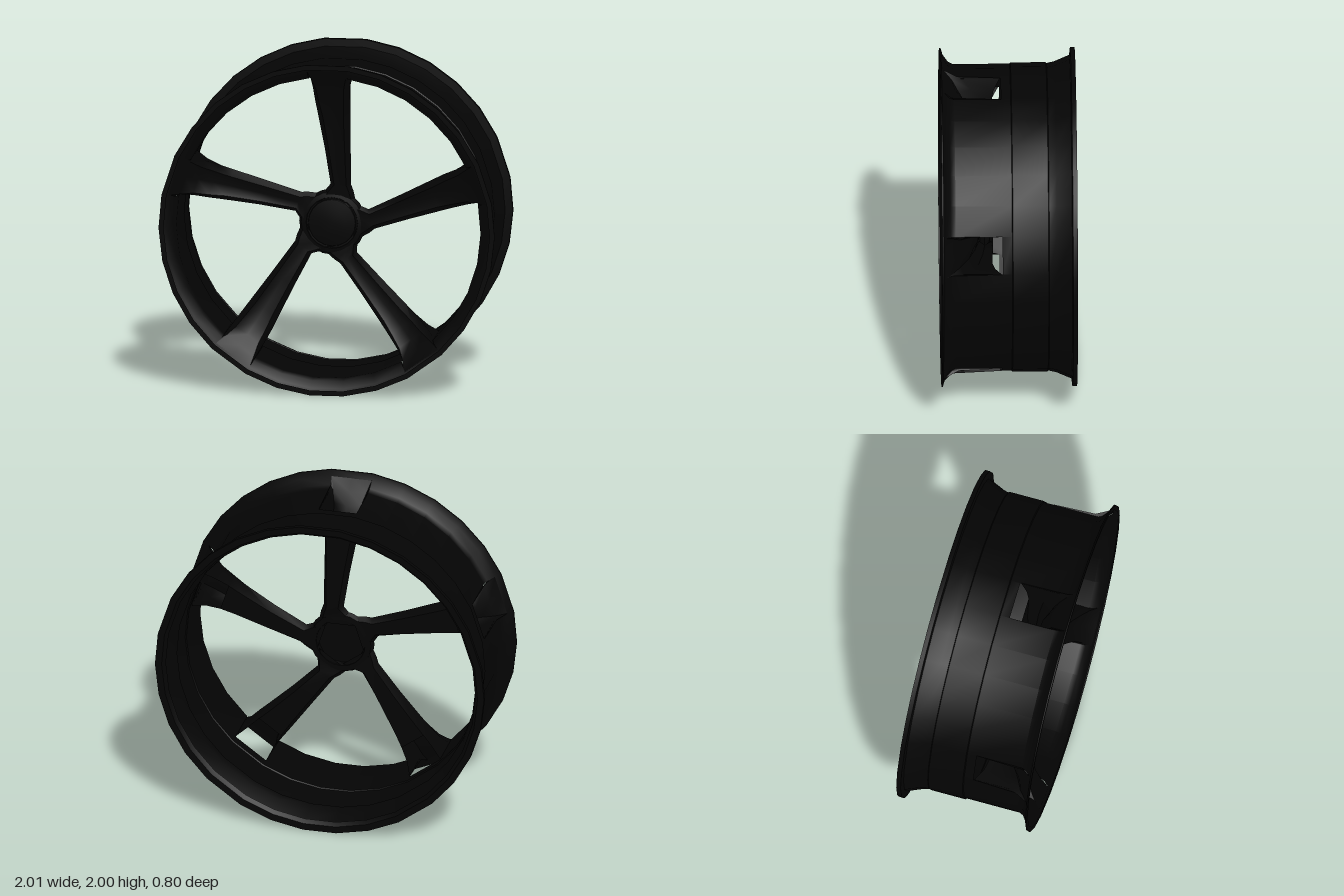
import * as THREE from 'three';
import { mergeGeometries, toCreasedNormals } from 'three/addons/utils/BufferGeometryUtils.js';

const SPOKES = 5;
const WINDOW = (Math.PI * 2) / 25; // the barrel facet taken up by a spoke end
const GAP = (Math.PI * 2) / SPOKES - WINDOW;

// Turns a profile of [radius, z] around the z axis; phi = PI is the top
function lathe(profile, segments, start = 0, length = Math.PI * 2) {
  const points = profile.map(([r, z]) => new THREE.Vector2(r, z));
  return new THREE.LatheGeometry(points, segments, start, length).rotateX(Math.PI / 2);
}

// Barrel: five sectors, each with full facets and one with a window at the spoke
function barrelGeometry() {
  const rear = [[0.945, -0.375], [0.965, -0.4], [1.005, -0.402], [1.005, -0.375], [0.96, -0.37],
    [0.922, -0.28], [0.912, -0.235], [0.917, -0.23], [0.917, -0.02], [0.91, -0.015]];
  const front = [[0.91, 0.32], [0.925, 0.35], [0.965, 0.38], [1.005, 0.392], [1.005, 0.4], [0.975, 0.4]];
  const parts = [];
  for (let i = 0; i < SPOKES; i++) {
    const start = Math.PI - WINDOW / 2 + i * (GAP + WINDOW);
    parts.push(lathe([...rear, ...front], 5, start + WINDOW, GAP));
    parts.push(lathe([...rear, [0.91, 0.042]], 1, start, WINDOW));
    parts.push(lathe(front.slice(2), 1, start, WINDOW));
  }
  return toCreasedNormals(mergeGeometries(parts), 0.5);
}

// Spoke pointing up: hollow loft, flaring forward into the front lip. Its sides
// run back around the barrel window, and its back is open near the barrel.
function spokeGeometry() {
  // [y, left, right, front z, side z, back z, front inset, back inset, dip of face]
  const stations = [
    [0.12, -0.09, 0.14, 0.165, 0.14, 0.115, 0.02, 0.02, 0.00],
    [0.19, -0.045, 0.125, 0.17, 0.14, 0.11, 0.025, 0.025, 0.00],
    [0.23, -0.012, 0.11, 0.175, 0.14, 0.10, 0.025, 0.025, 0.005],
    [0.45, -0.045, 0.11, 0.20, 0.155, 0.095, 0.03, 0.025, 0.015],
    [0.65, -0.08, 0.112, 0.235, 0.18, 0.10, 0.035, 0.025, 0.025],
    [0.74, -0.096, 0.113, 0.26, 0.195, 0.10, 0.032, 0.022, 0.028],
    [0.83, -0.107, 0.114, 0.29, 0.22, 0.085, 0.028, 0.014, 0.028],
    [0.90, -0.115, 0.115, 0.33, 0.27, 0.048, 0.012, 0.00, 0.015],
    [0.96, -0.123, 0.123, 0.382, 0.34, 0.042, 0.00, 0.007, 0.00],
  ];
  const openFrom = 6;
  const positions = [];
  const index = [];
  const n = 7;
  stations.forEach(([y, l, r, front, side, back, inset, backInset, dip], i) => {
    // The sides and back stop at the barrel; the front runs on to the lip
    const ys = Math.min(y, 0.918);
    const yb = Math.min(y, 0.905);
    const trim = y > 0.95 ? 0.005 : 0;
    positions.push(
      l + trim, ys, side,
      l + inset, y, front,
      (l + r) / 2, y, front - dip,
      r - inset, y, front,
      r - trim, ys, side,
      r - backInset, yb, back,
      l + backInset, yb, back,
    );
    if (i === 0) return;
    for (let j = 0; j < n; j++) {
      if (j === 5 && i >= openFrom) continue;
      const k = (j + 1) % n;
      const p = (i - 1) * n;
      const q = i * n;
      index.push(p + j, p + k, q + k, p + j, q + k, q + j);
    }
  });
  const geometry = new THREE.BufferGeometry();
  geometry.setAttribute('position', new THREE.Float32BufferAttribute(positions, 3));
  geometry.setIndex(index);
  return toCreasedNormals(geometry, 0.8);
}

export function createModel() {
  const model = new THREE.Group();
  model.name = 'wheelRim';
  const black = new THREE.MeshStandardMaterial({ color: 0x040404, side: THREE.DoubleSide });
  const wheel = new THREE.Group();
  wheel.name = 'wheel';
  wheel.position.y = 1;
  model.add(wheel);

  const add = (name, geometry) => {
    const mesh = new THREE.Mesh(geometry, black);
    mesh.name = name;
    wheel.add(mesh);
    return mesh;
  };

  add('barrel', barrelGeometry());

  // Spokes
  const spoke = spokeGeometry();
  for (let i = 0; i < SPOKES; i++) {
    add('spoke' + (i + 1), spoke).rotation.z = (i * Math.PI * 2) / SPOKES;
  }

  // Hub with a shallow recess at the back
  add('hub', toCreasedNormals(lathe([[0, 0.14], [0.14, 0.14], [0.15, 0.11], [0.185, 0.112],
    [0.2, 0.14], [0.185, 0.166], [0.155, 0.172], [0.15, 0.16], [0, 0.16]], 20), 0.8));

  // Centre cap, slightly domed
  add('centreCap', toCreasedNormals(lathe([[0.148, 0.158], [0.14, 0.17], [0.08, 0.177], [0, 0.18]], 20), 0.8));

  return model;
}
